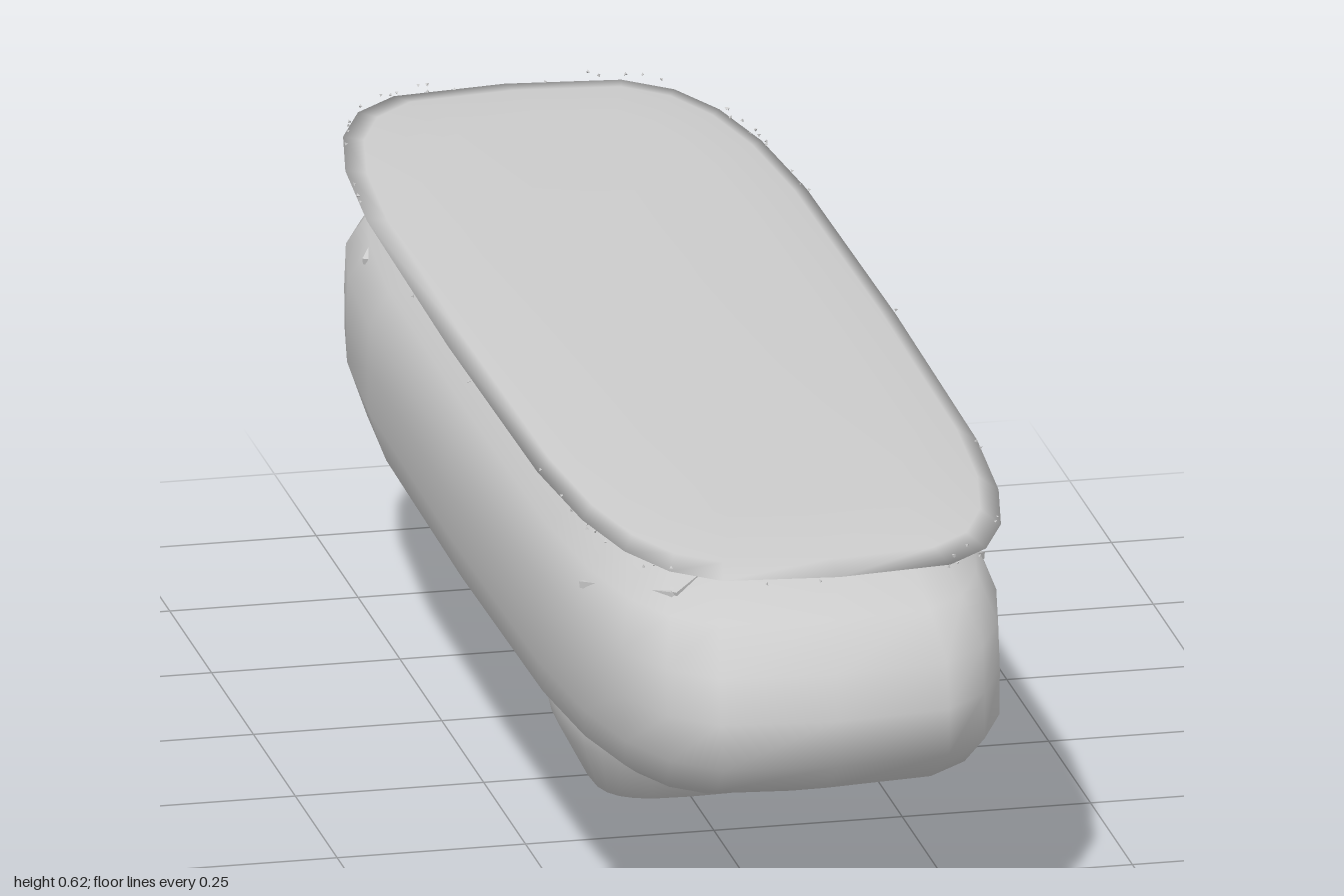
import * as THREE from 'three';

const material = new THREE.MeshStandardMaterial({ color: 0xcccccc, roughness: 0.9 });
const SEG = 24;

// Each stone is a stack of levels: [y, half width, half length]
const BODY = [
  [0.21, 0.213, 0.71], [0.285, 0.28, 0.92], [0.34, 0.295, 0.998],
  [0.4, 0.297, 0.992], [0.46, 0.297, 0.98], [0.515, 0.275, 0.925], [0.588, 0.2, 0.7],
];
const FOOT = [
  [0, 0.112, 0.113], [0.07, 0.149, 0.148], [0.11, 0.158, 0.158], [0.22, 0.156, 0.158],
];
const SLAB = [
  [0.583, 0.195, 0.7], [0.594, 0.272, 0.95], [0.601, 0.297, 1], [0.609, 0.275, 0.95], [0.62, 0.19, 0.8],
];

// Rounded rectangle ring point
function ringPoint(hx, hz, power, angle) {
  const c = Math.cos(angle), s = Math.sin(angle), e = 2 / power;
  return [Math.sign(c) * Math.abs(c) ** e * hx, Math.sign(s) * Math.abs(s) ** e * hz];
}

// Closed smooth stone lofted through its levels
function stone(name, levels, power) {
  const pos = [], index = [];
  for (const [y, hx, hz] of levels) {
    for (let i = 0; i < SEG; i++) {
      const [x, z] = ringPoint(hx, hz, power, (i / SEG) * Math.PI * 2);
      pos.push(x, y, z);
    }
  }
  const last = (levels.length - 1) * SEG, bottom = levels.length * SEG, top = bottom + 1;
  pos.push(0, levels[0][0], 0, 0, levels[levels.length - 1][0], 0);
  for (let i = 0; i < SEG; i++) {
    const n = (i + 1) % SEG;
    for (let j = 0; j < last; j += SEG) {
      index.push(j + i, j + SEG + i, j + n, j + n, j + SEG + i, j + SEG + n);
    }
    index.push(bottom, i, n, top, last + n, last + i);
  }
  const g = new THREE.BufferGeometry();
  g.setAttribute('position', new THREE.Float32BufferAttribute(pos, 3));
  g.setIndex(index);
  g.computeVertexNormals();
  const mesh = new THREE.Mesh(g, material);
  mesh.name = name;
  return mesh;
}

// Point on the front (+1) or back (-1) of a stone at the given x and y
function onStone(levels, power, x, y, side) {
  let k = 0;
  while (k < levels.length - 2 && levels[k + 1][0] < y) k++;
  const a = levels[k], b = levels[k + 1], t = (y - a[0]) / (b[0] - a[0]);
  const hx = THREE.MathUtils.lerp(a[1], b[1], t), hz = THREE.MathUtils.lerp(a[2], b[2], t);
  const r = Math.min(1, Math.abs(x) / hx);
  return new THREE.Vector3(x, y, side * hz * (1 - r ** power) ** (1 / power));
}

// Thin raised line made of straight strips
function crack(points, width = 0.009) {
  const group = new THREE.Group();
  group.name = 'crack';
  for (let i = 1; i < points.length; i++) {
    const a = points[i - 1], b = points[i];
    const strip = new THREE.Mesh(new THREE.BoxGeometry(width, width, a.distanceTo(b)), material);
    strip.name = 'crackStrip';
    strip.position.lerpVectors(a, b, 0.5);
    strip.lookAt(b);
    group.add(strip);
  }
  return group;
}

export function createModel() {
  const model = new THREE.Group();
  model.name = 'stoneBench';
  model.add(stone('foot', FOOT, 3.2), stone('body', BODY, 4), stone('topSlab', SLAB, 4));

  // Cracks along the shoulders of both ends
  const shoulders = [
    [[-0.265, 0.495], [-0.18, 0.53], [-0.03, 0.585]],
    [[0.04, 0.585], [0.14, 0.55]],
    [[0.165, 0.54], [0.265, 0.495]],
  ];
  const cracks = new THREE.Group();
  cracks.name = 'cracks';
  for (const line of shoulders) {
    cracks.add(crack(line.map(([x, y]) => onStone(BODY, 4, x, y, 1))));
  }

  // Cracks and chevrons on the back end
  const backLines = [
    [[0.24, 0.52], [0.12, 0.5], [-0.2, 0.5]],
    [[-0.2, 0.54], [-0.265, 0.5]],
    [[0.25, 0.47], [0.2, 0.42], [0.25, 0.36]],
    [[-0.15, 0.42], [-0.08, 0.38], [-0.15, 0.33]],
    [[0.265, 0.5], [0.2, 0.53]],
  ];
  for (const line of backLines) {
    cracks.add(crack(line.map(([x, y]) => onStone(BODY, 4, x, y, -1))));
  }

  // Cracks on the back of the foot
  const footLines = [
    [[0.13, 0.12], [0.06, 0.1], [-0.06, 0.12]],
    [[0.05, 0.19], [0.08, 0.16], [0.04, 0.13]],
    [[-0.08, 0.18], [-0.05, 0.14], [-0.1, 0.1]],
  ];
  for (const line of footLines) {
    cracks.add(crack(line.map(([x, y]) => onStone(FOOT, 3.2, x, y, -1)), 0.006));
  }
  model.add(cracks);

  // Tiny crumbs scattered around the slab rim
  let seed = 7;
  const random = () => (seed = (seed * 16807) % 2147483647) / 2147483647;
  const crumbs = new THREE.Group();
  crumbs.name = 'crumbs';
  const crumbShape = new THREE.TetrahedronGeometry(0.003);
  for (let i = 0; i < 90; i++) {
    const [x, z] = ringPoint(0.293, 0.99, 4, random() * Math.PI * 2);
    const crumb = new THREE.Mesh(crumbShape, material);
    crumb.name = 'crumb';
    crumb.position.set(x, 0.588 + random() * 0.028, z);
    crumb.rotation.set(random() * 3, random() * 3, 0);
    crumbs.add(crumb);
  }
  model.add(crumbs);
  return model;
}
